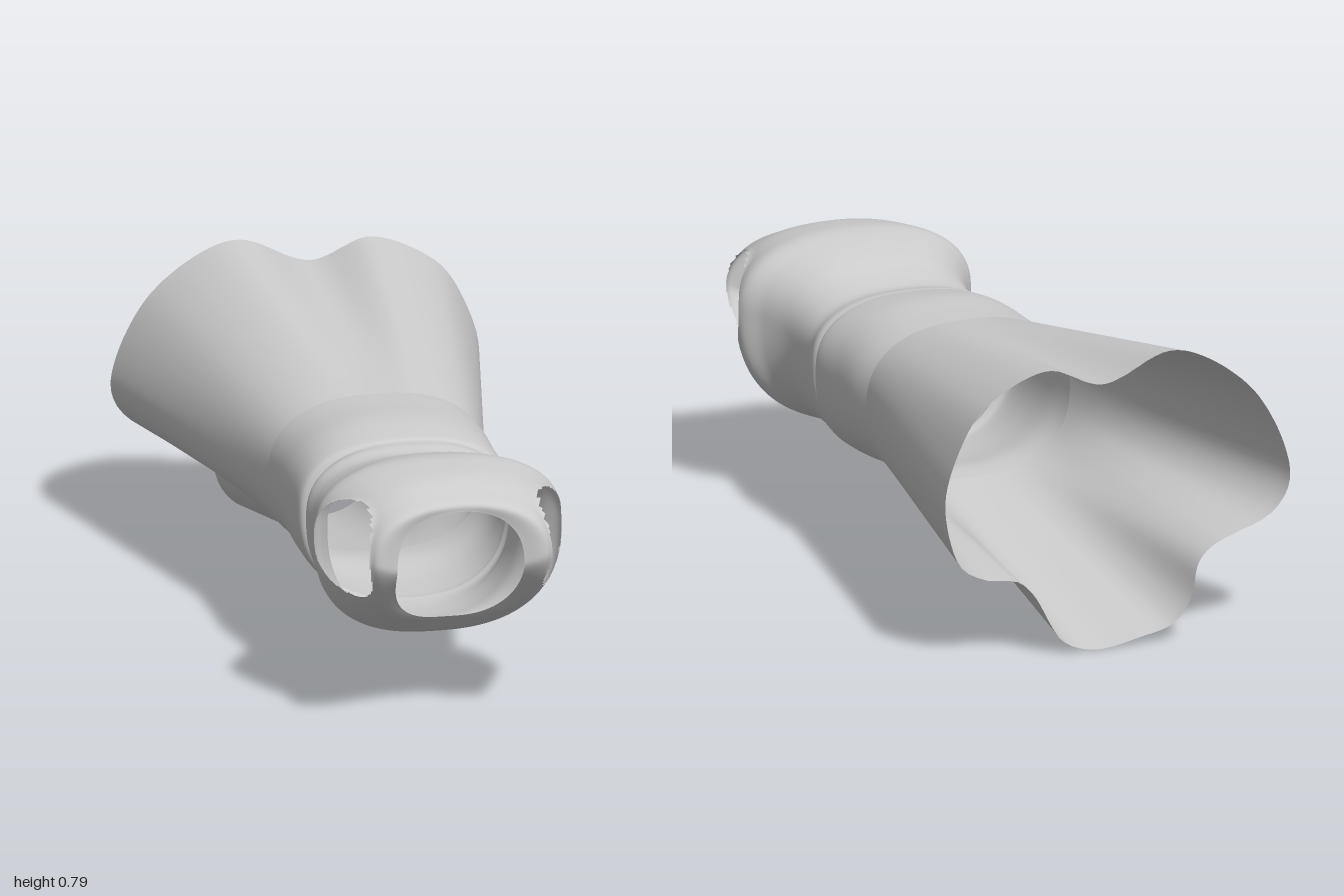
import * as THREE from 'three';

const SIDES = 128;
const SQUARENESS = 2.45;

// Flared cuff outline at the open back end, as x, y pairs
const CUFF_OUTLINE = [
  [0.495, 0.4], [0.49, 0.49], [0.42, 0.65], [0.36, 0.71], [0.2, 0.775], [0.04, 0.72], [-0.15, 0.79],
  [-0.25, 0.765], [-0.4, 0.65], [-0.49, 0.48], [-0.5, 0.385], [-0.45, 0.31], [-0.28, 0.24], [-0.235, 0.2],
  [-0.2, 0.1], [-0.15, 0.045], [-0.06, 0.02], [0.08, 0], [0.17, 0.035], [0.25, 0.17], [0.29, 0.205],
  [0.38, 0.22], [0.45, 0.26],
];
const CUFF_CENTRE = [0, 0.42];

// Wrist sections: z; x right, x left; y top, bottom, middle
const WRIST = [
  [-0.02, -0.285, 0.305, 0.645, 0.208, 0.43],
  [0.07, -0.28, 0.31, 0.646, 0.213, 0.43],
  [0.2, -0.28, 0.303, 0.648, 0.195, 0.43],
  [0.32, -0.277, 0.3, 0.632, 0.188, 0.44],
  [0.345, -0.25, 0.28, 0.624, 0.192, 0.44],
  [0.375, -0.268, 0.288, 0.622, 0.188, 0.44],
  [0.43, -0.258, 0.272, 0.615, 0.185, 0.45],
  [0.51, -0.25, 0.27, 0.637, 0.19, 0.46],
  [0.58, -0.255, 0.28, 0.665, 0.2, 0.48],
];

// Palm sections: z at side, top, bottom; x right, x left; y top, bottom, middle
const PALM = [
  [0.65, 0.66, 0.63, -0.285, 0.31, 0.688, 0.195, 0.5],
  [0.71, 0.73, 0.67, -0.32, 0.35, 0.7, 0.198, 0.5],
  [0.78, 0.8, 0.7, -0.305, 0.335, 0.695, 0.21, 0.5],
  [0.86, 0.87, 0.73, -0.275, 0.31, 0.683, 0.225, 0.5],
  [0.94, 0.92, 0.76, -0.245, 0.28, 0.662, 0.247, 0.5],
  [1.0, 0.965, 0.785, -0.215, 0.252, 0.64, 0.265, 0.49],
  [0.992, 0.97, 0.8, -0.155, 0.19, 0.62, 0.278, 0.47],
];
const SECTIONS = [...WRIST.map(([z, ...size]) => [z, z, z, ...size]), ...PALM];

// Oval openings on both sides of the hand, measured in z and y
const HOLE = { z: 0.85, y: 0.5, rz: 0.138, ry: 0.13 };

const angleOf = (j) => (j / SIDES) * Math.PI * 2;

// Point on one hand section: a squarish oval whose front edge leans back below
function sectionPoint([zs, zt, zb, xr, xl, top, bottom, mid], j) {
  const c = Math.cos(angleOf(j)), s = Math.sin(angleOf(j));
  const cx = (xl + xr) / 2, a = (xl - xr) / 2;
  const b = s > 0 ? top - mid : mid - bottom;
  const r = Math.pow(Math.abs(c / a) ** SQUARENESS + Math.abs(s / b) ** SQUARENESS, -1 / SQUARENESS);
  const z = s > 0 ? zs + (zt - zs) * s * s : zs + (zb - zs) * Math.pow(-s, 1.4);
  return new THREE.Vector3(cx + r * c, mid + r * s, z);
}

// Cuff outline resampled at even angles about its centre
function cuffRing() {
  const curve = new THREE.CatmullRomCurve3(CUFF_OUTLINE.map(([x, y]) => new THREE.Vector3(x, y, 0)), true);
  const polar = curve.getPoints(1500).map((p) => {
    const x = p.x - CUFF_CENTRE[0], y = p.y - CUFF_CENTRE[1];
    return { angle: Math.atan2(y, x), r: Math.hypot(x, y) };
  });
  return Array.from({ length: SIDES }, (_, j) => {
    const t = angleOf(j);
    const gap = (p) => 1 - Math.cos(p.angle - t);
    const near = polar.reduce((best, p) => (gap(p) < gap(best) ? p : best));
    const x = CUFF_CENTRE[0] + near.r * Math.cos(t), y = CUFF_CENTRE[1] + near.r * Math.sin(t);
    return new THREE.Vector3(x, y, -0.972 - 0.028 * THREE.MathUtils.smoothstep(0.27 - y, 0, 0.2));
  });
}

// Skin closed rings into an open tube, leaving out faces whose corners are all cut
function skin(name, rings, isCut = () => false) {
  const index = [];
  for (let i = 0; i < rings.length - 1; i++) {
    for (let j = 0; j < SIDES; j++) {
      const k = (j + 1) % SIDES;
      if (isCut(i, j) && isCut(i, k) && isCut(i + 1, j) && isCut(i + 1, k)) continue;
      const a = i * SIDES + j, b = i * SIDES + k;
      index.push(a, b, a + SIDES, b, b + SIDES, a + SIDES);
    }
  }
  // Pull the remaining cut corners out to the edge of the opening
  const points = rings.flatMap((ring, i) => ring.map((p, j) => {
    if (!isCut(i, j)) return p;
    const dz = p.z - HOLE.z, dy = p.y - HOLE.y;
    const d = Math.hypot(dz / HOLE.rz, dy / HOLE.ry) || 1;
    return new THREE.Vector3(p.x, HOLE.y + dy / d, HOLE.z + dz / d);
  }));
  const geometry = new THREE.BufferGeometry().setFromPoints(points);
  geometry.setIndex(index);
  geometry.computeVertexNormals();
  const mesh = new THREE.Mesh(geometry, new THREE.MeshStandardMaterial({ color: 0xcccccc, side: THREE.DoubleSide }));
  mesh.name = name;
  return mesh;
}

// Smooth in-between values for a row of sections
function sectionAt(i, t) {
  const at = (k) => SECTIONS[THREE.MathUtils.clamp(k, 0, SECTIONS.length - 1)];
  const [p, q, r, s] = [at(i - 1), at(i), at(i + 1), at(i + 2)];
  return q.map((v, k) => {
    const m0 = (r[k] - p[k]) / 2, m1 = (s[k] - v) / 2, d = r[k] - v;
    return v + m0 * t + (3 * d - 2 * m0 - m1) * t * t + (m0 + m1 - 2 * d) * t * t * t;
  });
}

export function createModel() {
  const group = new THREE.Group();
  group.name = 'gauntlet';

  // Cuff: straight pleats running from the lobed back edge to the wrist
  const back = cuffRing();
  const wrist = back.map((_, j) => sectionPoint(SECTIONS[0], j));
  const cuffRings = Array.from({ length: 25 }, (_, i) => back.map((p, j) => p.clone().lerp(wrist[j], i / 24)));
  group.add(skin('cuff', cuffRings));

  // Hand: wrist, crease and palm, up to the curled front rim
  const STEPS = 7, strapStart = (SECTIONS.length - 2) * STEPS;
  const handRings = Array.from({ length: strapStart + STEPS + 1 }, (_, i) => {
    const span = Math.min(Math.floor(i / STEPS), SECTIONS.length - 2);
    const section = sectionAt(span, i / STEPS - span);
    return back.map((_, j) => sectionPoint(section, j));
  });
  const inHole = (i, j) => {
    const p = handRings[i][j];
    return i < strapStart && Math.hypot((p.z - HOLE.z) / HOLE.rz, (p.y - HOLE.y) / HOLE.ry) < 1
      && Math.abs(p.x - 0.017) > 0.12;
  };
  group.add(skin('hand', handRings, inHole));
  return group;
}
